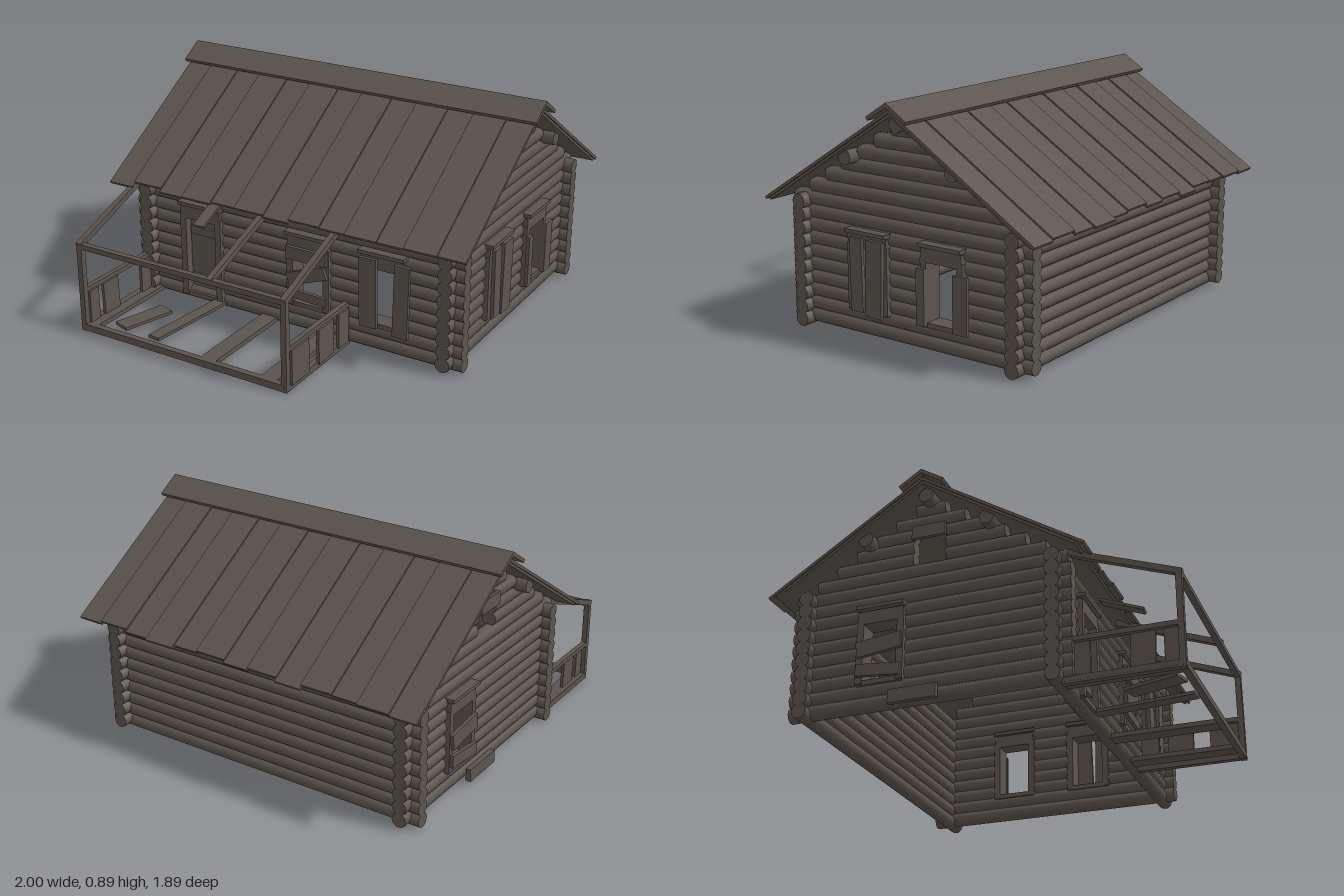
import * as THREE from 'three';

const wood = new THREE.MeshStandardMaterial({ color: 0x5b534d });
wood.name = 'weathered wood';

const R = 0.029, STEP = 0.049;          // log radius and course height
const W = 0.47, L = 0.645;              // wall centre lines
const RIDGE = 0.865, EAVE = 0.607, SLOPE = 0.636;
const PITCH = Math.atan(SLOPE);
const UP = new THREE.Vector3(0, 1, 0);

let seed = 7;
const rand = () => (seed = (seed * 16807) % 2147483647) / 2147483647;

function add(parent, name, geo, x = 0, y = 0, z = 0) {
  const m = new THREE.Mesh(geo, wood);
  m.name = name;
  m.position.set(x, y, z);
  parent.add(m);
  return m;
}

const box = (parent, name, w, h, d, x, y, z, tilt = 0) => {
  const m = add(parent, name, new THREE.BoxGeometry(w, h, d), x, y, z);
  m.rotation.z = tilt;
  return m;
};

// Squared timber running from a to b
function beam(parent, name, a, b, w, h) {
  const p = new THREE.Vector3(...a), q = new THREE.Vector3(...b);
  const m = add(parent, name, new THREE.BoxGeometry(w, h, p.distanceTo(q)));
  m.position.copy(p).lerp(q, 0.5);
  m.quaternion.setFromRotationMatrix(new THREE.Matrix4().lookAt(q, p, UP));
  return m;
}

// Round log along u, interrupted wherever a hole crosses its course
function log(parent, y, from, to, holes = []) {
  const cuts = holes.filter(h => y > h.y0 && y < h.y1).sort((a, b) => a.u - b.u);
  let start = from;
  const piece = (a, b) => {
    if (b - a < 0.01) return;
    const g = new THREE.CylinderGeometry(R, R, b - a, 10).rotateZ(Math.PI / 2);
    add(parent, 'wallLog', g, (a + b) / 2, y, 0);
  };
  for (const h of cuts) {
    piece(start, h.u - h.w / 2);
    start = h.u + h.w / 2;
  }
  piece(start, to);
}

// Wall group: u runs along x, the outside faces local +z
function wall(parent, name, x, z, turn) {
  const g = new THREE.Group();
  g.name = name;
  g.position.set(x, 0, z);
  g.rotation.y = turn;
  parent.add(g);
  return g;
}

function sideWall(parent, name, x, turn, holes) {
  const g = wall(parent, name, x, 0, turn);
  for (let i = 0; i < 10; i++) log(g, 0.034 + i * STEP, -L - 0.06, L + 0.06, holes);
  return g;
}

function gableWall(parent, name, z, turn, holes) {
  const g = wall(parent, name, 0, z, turn);
  for (let i = 0; i < 16; i++) {
    const y = 0.043 + i * STEP;
    const half = Math.min(W + 0.06, (RIDGE - 0.05 - y) / SLOPE);
    if (half > 0.02) log(g, y, -half, half, holes);
  }
  return g;
}

// Plank casing around an opening
function casing(g, h) {
  const mid = (h.y0 + h.y1) / 2, tall = h.y1 - h.y0;
  for (const s of [-1, 1])
    box(g, 'jamb', 0.026, tall + 0.02, 0.075, h.u + s * (h.w / 2 + 0.01), mid, 0.004);
  box(g, 'header', h.w + 0.04, 0.05, 0.075, h.u, h.y1 + 0.018, 0.004);
  box(g, 'lintelCap', h.w + 0.05, 0.014, 0.095, h.u, h.y1 + 0.055, 0.008);
  box(g, 'sill', h.w + 0.04, 0.018, 0.07, h.u, h.y0 - 0.006, 0.002);
}

function roof(parent) {
  const g = new THREE.Group();
  g.name = 'roof';
  parent.add(g);
  const run = EAVE / Math.cos(PITCH), n = 13, pitchW = 1.51 / n;
  for (const s of [-1, 1]) {
    const side = new THREE.Group();
    side.name = 'roofSlope';
    side.position.y = RIDGE;
    side.rotation.z = -s * PITCH;
    g.add(side);
    // Under-layer and uneven cover boards
    box(side, 'roofDeck', run - 0.03, 0.01, 1.49, s * (run - 0.03) / 2, -0.019, 0);
    for (let i = 0; i < n; i++) {
      const len = run - rand() * 0.022, lift = (i % 2) * 0.006;
      box(side, 'roofBoard', len, 0.011, pitchW + (i % 2 ? 0.012 : -0.008),
        s * len / 2, -0.009 + lift, -0.755 + (i + 0.5) * pitchW);
    }
    box(side, 'ridgeBoard', 0.104, 0.014, 1.53, s * 0.04, 0.011, 0);
  }
  // Purlins whose ends show under the gables
  for (const [x, y] of [[0, 0.805], [-0.235, 0.667], [0.235, 0.667]])
    add(g, 'purlin', new THREE.CylinderGeometry(R, R, 1.43, 10).rotateX(Math.PI / 2), x, y, 0);
}

function porch(parent) {
  const g = new THREE.Group();
  g.name = 'porch';
  parent.add(g);
  const X = -0.9, Z0 = -0.655, Z1 = 0.235;
  beam(g, 'outerSill', [X, 0.015, Z0], [X, 0.015, Z1], 0.024, 0.026);
  beam(g, 'outerPlate', [X, 0.343, Z0 - 0.01], [X, 0.343, Z1 + 0.01], 0.022, 0.02);
  for (const z of [Z0, -0.07, Z1])
    beam(g, 'rafter', [X - 0.01, 0.345, z], [-0.51, 0.495, z], 0.022, 0.022);
  for (const z of [Z0 + 0.02, -0.1, Z1 - 0.075])
    beam(g, 'floorJoist', [X, 0.018, z], [-0.49, 0.018, z], 0.065, 0.018);
  // Loose boards left on the porch
  beam(g, 'floorPlank', [-0.87, 0.03, -0.36], [-0.5, 0.03, -0.32], 0.05, 0.012);
  beam(g, 'floorPlank', [-0.86, 0.03, -0.52], [-0.66, 0.03, -0.46], 0.07, 0.012);
  beam(g, 'roofPlank', [-0.68, 0.42, -0.28], [-0.52, 0.48, -0.29], 0.045, 0.01);
  // Corner posts and end railings
  for (const z of [Z0, Z1]) {
    box(g, 'post', 0.022, 0.35, 0.022, X, 0.175, z);
    beam(g, 'topRail', [X, 0.162, z], [-0.49, 0.162, z], 0.02, 0.018);
    beam(g, 'bottomRail', [X, 0.015, z], [-0.49, 0.015, z], 0.024, 0.026);
    const boards = z === Z0
      ? [[-0.862, 0.05, 0], [-0.765, 0.085, 0.04], [-0.55, 0.07, 0]]
      : [[-0.83, 0.11, 0], [-0.66, 0.1, 0.03], [-0.54, 0.07, 0]];
    for (const [x, w, t] of boards) box(g, 'railBoard', w, 0.135, 0.012, x, 0.088, z + 0.012, t);
  }
}

export function createModel() {
  const model = new THREE.Group();
  model.name = 'logCabin';
  const cabin = new THREE.Group();
  cabin.name = 'cabin';
  cabin.position.x = 0.117;
  cabin.rotation.y = 0.497;
  model.add(cabin);

  // Front gable with two windows, one boarded over
  const win = u => ({ u, w: 0.135, y0: 0.12, y1: 0.345 });
  const frontHoles = [win(-0.165), win(0.165)];
  const front = gableWall(cabin, 'frontWall', L, 0, frontHoles);
  frontHoles.forEach(h => casing(front, h));
  box(front, 'shutter', 0.055, 0.27, 0.014, -0.205, 0.245, 0.048, 0.02);
  box(front, 'shutter', 0.075, 0.28, 0.014, -0.125, 0.24, 0.05, -0.03);
  box(front, 'shutter', 0.06, 0.205, 0.014, 0.255, 0.215, 0.05);
  box(front, 'shutter', 0.035, 0.205, 0.014, 0.085, 0.215, 0.05);

  // Back gable with a patched window, attic opening and low board
  const backWin = win(-0.175), attic = { u: 0, w: 0.125, y0: 0.575, y1: 0.69 };
  const back = gableWall(cabin, 'backWall', -L, Math.PI, [backWin, attic]);
  casing(back, backWin);
  box(back, 'patchBoard', 0.17, 0.06, 0.014, -0.175, 0.245, 0.047, 0.12);
  box(back, 'patchBoard', 0.17, 0.045, 0.014, -0.175, 0.15, 0.047, -0.1);
  box(back, 'atticBoard', 0.13, 0.05, 0.014, 0, 0.675, 0.035);
  box(back, 'stepBoard', 0.18, 0.05, 0.02, -0.04, 0.04, 0.045);

  // Porch side with a door and two windows
  const door = { u: -0.4, w: 0.14, y0: 0.04, y1: 0.36 };
  const porchHoles = [win(0.39), win(0.08), door];
  const porchSide = sideWall(cabin, 'porchWall', -W, -Math.PI / 2, porchHoles);
  porchHoles.forEach(h => casing(porchSide, h));
  box(porchSide, 'door', 0.14, 0.33, 0.02, -0.4, 0.2, 0);
  for (const y of [0.1, 0.3]) box(porchSide, 'doorBrace', 0.12, 0.03, 0.014, -0.4, y, 0.015);
  box(porchSide, 'shutter', 0.07, 0.27, 0.014, 0.34, 0.245, 0.05, 0.02);
  box(porchSide, 'shutter', 0.06, 0.28, 0.014, 0.475, 0.24, 0.05, -0.02);
  box(porchSide, 'patchBoard', 0.17, 0.05, 0.014, 0.08, 0.245, 0.047, 0.35);
  box(porchSide, 'patchBoard', 0.17, 0.05, 0.014, 0.08, 0.325, 0.05);
  box(porchSide, 'patchBoard', 0.16, 0.035, 0.014, 0.08, 0.16, 0.047, -0.06);

  // Plain long wall
  sideWall(cabin, 'plainWall', W, Math.PI / 2, []);

  roof(cabin);
  porch(cabin);
  return model;
}
